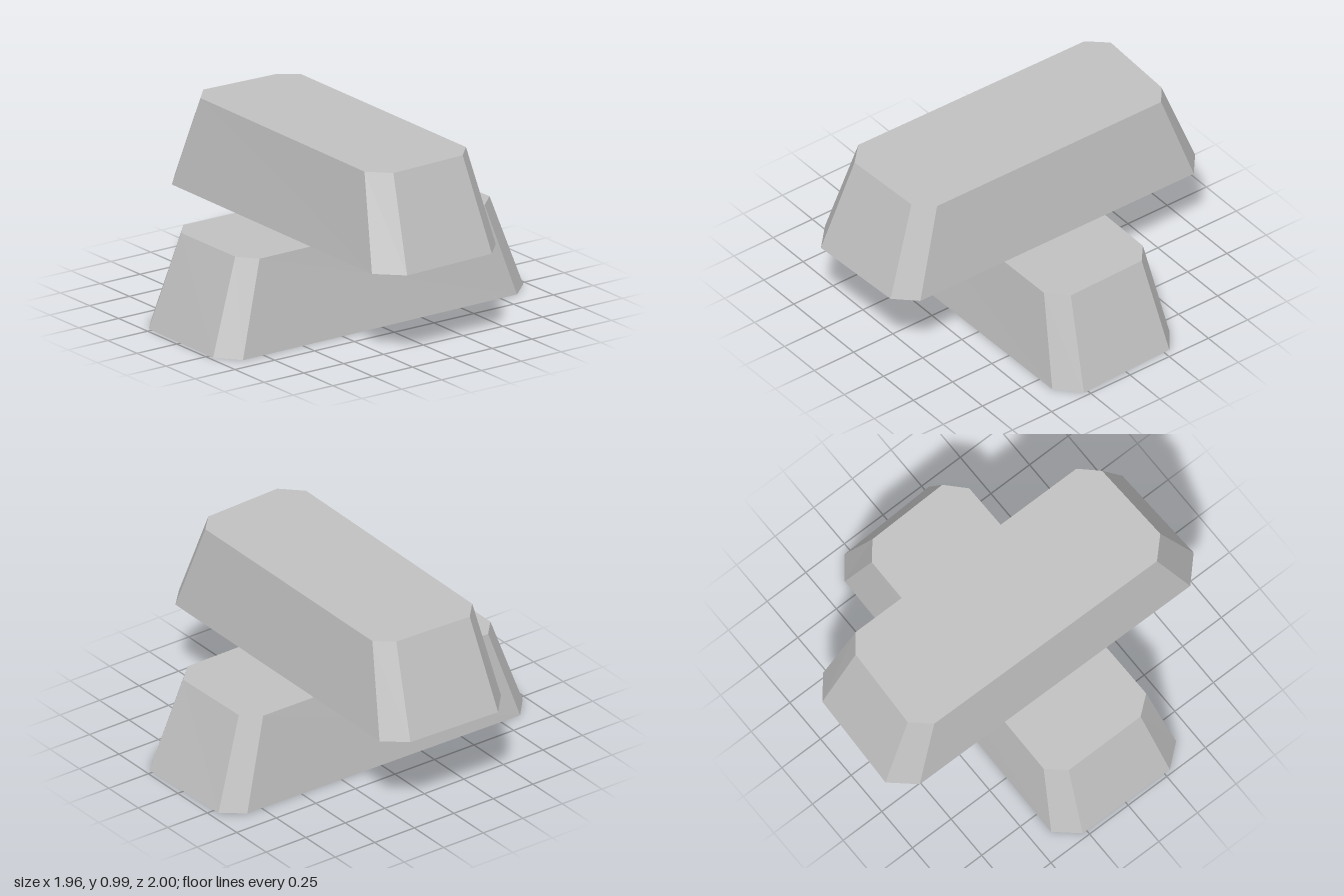
import * as THREE from 'three';

// Faceted bar lofted between two chamfered outlines [x, z], listed clockwise from above
function bar(name, y0, base, y1, top, material) {
  const pos = [], n = base.length;
  const B = base.map(([x, z]) => [x, y0, z]);
  const T = top.map(([x, z]) => [x, y1, z]);
  const tri = (a, b, c) => pos.push(...a, ...b, ...c);
  for (let i = 0; i < n; i++) {
    const j = (i + 1) % n;
    // tapered side
    tri(B[i], T[i], T[j]);
    tri(B[i], T[j], B[j]);
    // top and bottom caps
    if (i > 0 && i < n - 1) {
      tri(T[0], T[j], T[i]);
      tri(B[0], B[i], B[j]);
    }
  }
  const geometry = new THREE.BufferGeometry();
  geometry.setAttribute('position', new THREE.Float32BufferAttribute(pos, 3));
  geometry.computeVertexNormals();
  const mesh = new THREE.Mesh(geometry, material);
  mesh.name = name;
  return mesh;
}

export function createModel() {
  const group = new THREE.Group();
  group.name = 'stackedIngots';
  const metal = new THREE.MeshStandardMaterial({ color: 0xc0c0c0 });
  metal.name = 'grey metal';

  // Lower ingot, lying along x
  group.add(bar('lowerIngot', 0,
    [[-0.87, -0.395], [0.84, -0.375], [0.955, -0.285], [0.975, 0.275],
      [0.855, 0.385], [-0.88, 0.405], [-0.98, 0.285], [-0.975, -0.275]],
    0.493,
    [[-0.72, -0.325], [0.695, -0.315], [0.79, -0.235], [0.8, 0.225],
      [0.7, 0.32], [-0.725, 0.335], [-0.805, 0.235], [-0.805, -0.23]], metal));

  // Upper ingot, laid across it along z
  group.add(bar('upperIngot', 0.495,
    [[-0.28, -1], [0.26, -0.98], [0.38, -0.88], [0.375, 0.86],
      [0.27, 0.97], [-0.28, 0.995], [-0.41, 0.87], [-0.395, -0.87]],
    0.985,
    [[-0.235, -0.82], [0.215, -0.8], [0.31, -0.725], [0.305, 0.7],
      [0.215, 0.795], [-0.235, 0.815], [-0.34, 0.71], [-0.325, -0.72]], metal));

  return group;
}
